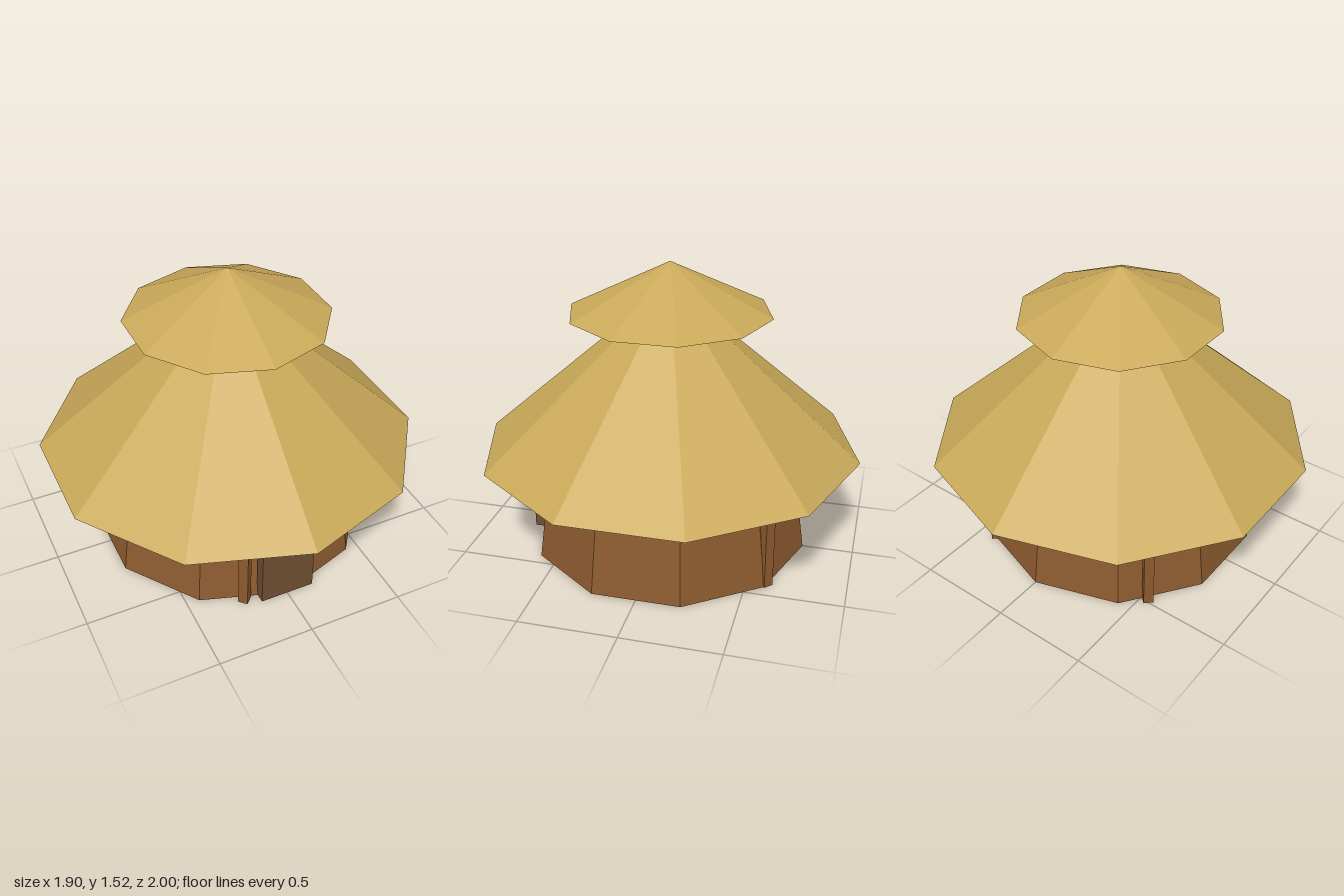
import * as THREE from 'three';

const SIDES = 10;

function material(name, color) {
  const m = new THREE.MeshStandardMaterial({ color });
  m.name = name;
  m.flatShading = true;
  return m;
}

export function createModel() {
  const hut = new THREE.Group();
  hut.name = 'hut';

  const thatch = material('thatch', 0xc9a959);
  const wood = material('wallWood', 0x8b5a2f);
  const doorWood = material('doorWood', 0x6e4e31);

  const add = (name, geometry, mat, x, y, z) => {
    const mesh = new THREE.Mesh(geometry, mat);
    mesh.name = name;
    mesh.position.set(x, y, z);
    hut.add(mesh);
  };

  // Tapered ten-sided wall
  const wallHeight = 0.53;
  add('wall', new THREE.CylinderGeometry(0.66, 0.735, wallHeight, SIDES), wood, 0, wallHeight / 2, 0);

  // Two-tier thatched roof
  const tiers = [
    ['mainRoof', 1, 0.53, 0.88],
    ['topRoof', 0.525, 1.265, 0.26],
  ];
  for (const [name, radius, base, height] of tiers) {
    add(name, new THREE.ConeGeometry(radius, height, SIDES), thatch, 0, base + height / 2, 0);
  }

  // Door slab
  add('door', new THREE.BoxGeometry(0.29, 0.42, 0.06), doorWood, 0, 0.21, 0.706);

  // Square posts standing against the wall, angles in degrees from the front
  const postGeometry = new THREE.CylinderGeometry(0.036, 0.036, 0.54, 4);
  [-17.8, 146, 228].forEach((degrees, i) => {
    const a = THREE.MathUtils.degToRad(degrees);
    add('post' + (i + 1), postGeometry, wood, 0.72 * Math.sin(a), 0.27, 0.72 * Math.cos(a));
  });

  return hut;
}
